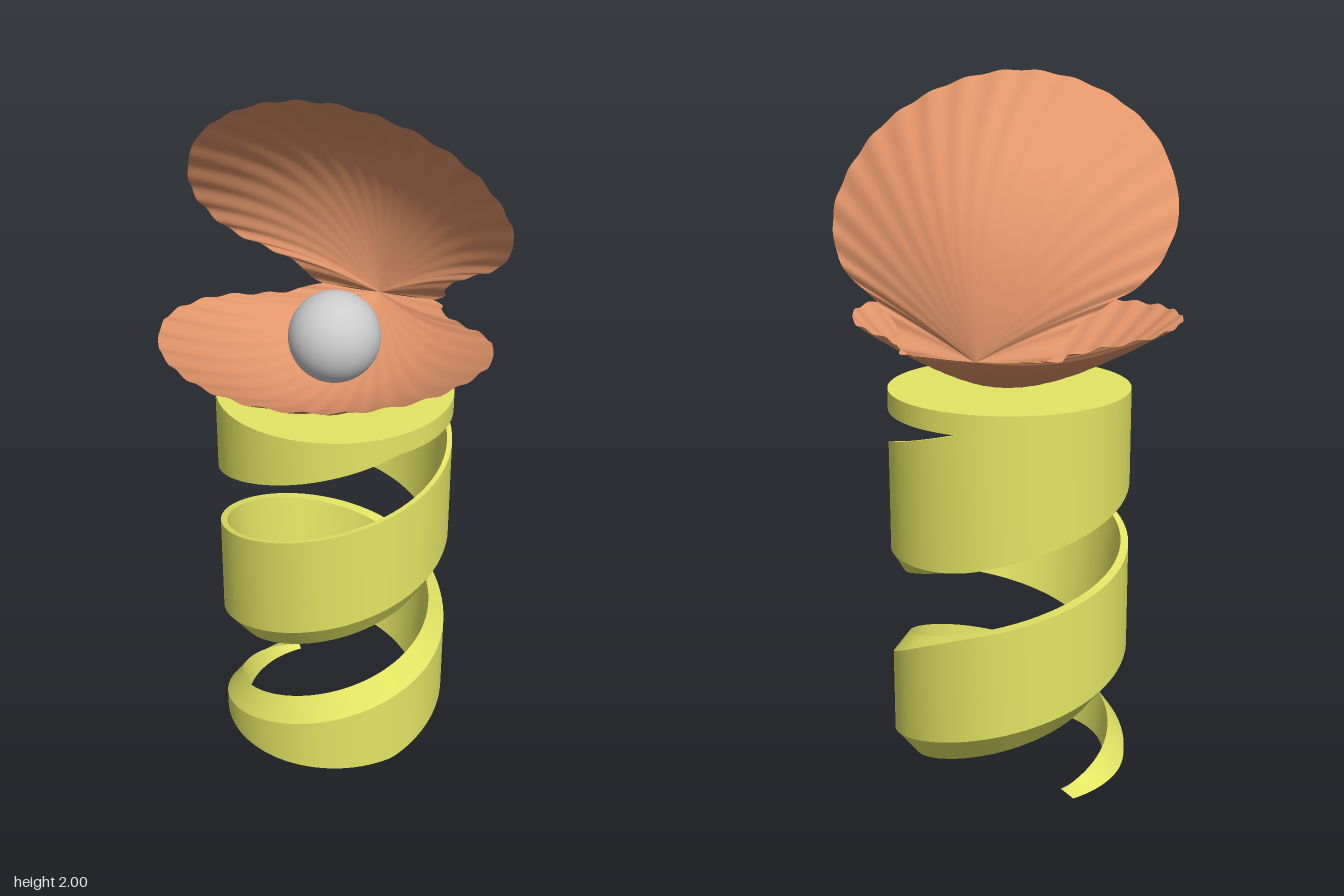
import * as THREE from 'three';
import { mergeGeometries } from 'three/addons/utils/BufferGeometryUtils.js';

const shellMat = new THREE.MeshStandardMaterial({ color: 0xe2956a, side: THREE.DoubleSide });
const standMat = new THREE.MeshStandardMaterial({ color: 0xe4e564, side: THREE.DoubleSide });
const pearlMat = new THREE.MeshStandardMaterial({ color: 0xcccccc });

// Smooth surface patch: fn(u, v) returns [x, y, z] for u, v in 0..1
function patch(nu, nv, fn) {
  const pos = [], idx = [];
  for (let i = 0; i <= nu; i++)
    for (let j = 0; j <= nv; j++) pos.push(...fn(i / nu, j / nv));
  for (let i = 0; i < nu; i++)
    for (let j = 0; j < nv; j++) {
      const a = i * (nv + 1) + j, b = a + nv + 1;
      idx.push(a, a + 1, b, b, a + 1, b + 1);
    }
  const g = new THREE.BufferGeometry();
  g.setAttribute('position', new THREE.Float32BufferAttribute(pos, 3));
  g.setIndex(idx);
  g.computeVertexNormals();
  return g;
}

// Scallop half: hinge at the origin, opening along +z, bulging towards -y
function shellGeometry() {
  const half = [[0.17, 0.012], [0.215, 0.035], [0.225, 0.085], [0.28, 0.15], [0.42, 0.275],
    [0.475, 0.455], [0.42, 0.645], [0.33, 0.755], [0.18, 0.845]];
  const mirrored = half.map(([x, z]) => [-x, z]).reverse();
  const outline = new THREE.CatmullRomCurve3(
    [...half, [0, 0.88], ...mirrored].map(([x, z]) => new THREE.Vector3(x, 0, z)));
  outline.arcLengthDivisions = 400;
  const ribs = 24;
  return patch(192, 28, (u, t) => {
    const p = outline.getPointAt(u), a = 2 * u - 1;
    const x = p.x * t, z = p.z * t;
    const bulge = 0.158 * Math.sin(Math.PI * Math.pow(t, 0.9)) * (1 - a * a) ** 2.5;
    const rib = 0.004 * t * t * Math.cos(2 * Math.PI * ribs * u);
    const lift = 0.028 * t * (x / 0.475) ** 2;
    return [x, -bulge + rib + lift, z];
  });
}

// Helical band with bevelled edges, trimmed by the floor and the top plate.
// q counts quarter turns: 0 at -x, 1 at +z, 2 at +x, 3 at -z
function ribbonGeometry(R, top) {
  const { smoothstep, clamp, lerp } = THREE.MathUtils;
  const q0 = -4.5, q1 = 6.05;
  const section = (q) => {
    const thin = smoothstep(q, -2, 1), thinLow = smoothstep(q, 0, 4);
    const lowIn = 0.27 + 0.145 * q;
    const highIn = 0.66 + 0.145 * q;
    const low = lowIn + 0.08 * (1 - smoothstep(q, 2, 3));
    const high = highIn - 0.07 * (1 - smoothstep(q, -2, -1));
    return [[R, low], [R, high], [lerp(0.295, 0.33, thin), highIn], [lerp(0.28, 0.325, thinLow), lowIn]]
      .map(([r, y]) => [r, clamp(y, 0, top)]);
  };
  const strips = [0, 1, 2, 3].map((k) => patch(240, 1, (u, v) => {
    const q = lerp(q0, q1, u), s = section(q);
    const [r, y] = s[(k + v) % 4];
    const ang = q * Math.PI / 2;
    return [-r * Math.cos(ang), y, r * Math.sin(ang)];
  }));
  return mergeGeometries(strips);
}

export function createModel() {
  const model = new THREE.Group();
  const add = (name, geo, mat, x, y, z) => {
    const m = new THREE.Mesh(geo, mat);
    m.name = name;
    m.position.set(x, y, z);
    model.add(m);
    return m;
  };

  // Spiral stand with its top plate
  const R = 0.345, zc = -0.065;
  add('spiralStand', ribbonGeometry(R, 1.137), standMat, 0, 0, zc);
  add('topPlate', new THREE.CylinderGeometry(R, R, 0.06, 72), standMat, 0, 1.108, zc);

  // Two matching shell halves sharing the hinge
  const shell = shellGeometry();
  add('lowerShell', shell, shellMat, 0, 1.286, -0.438).rotation.x = -0.028;
  add('upperShell', shell, shellMat, 0, 1.285, -0.438).rotation.set(-0.952, 0, Math.PI);

  // Pearl
  add('pearl', new THREE.SphereGeometry(0.132, 48, 32), pearlMat, 0, 1.298, -0.06);

  return model;
}
